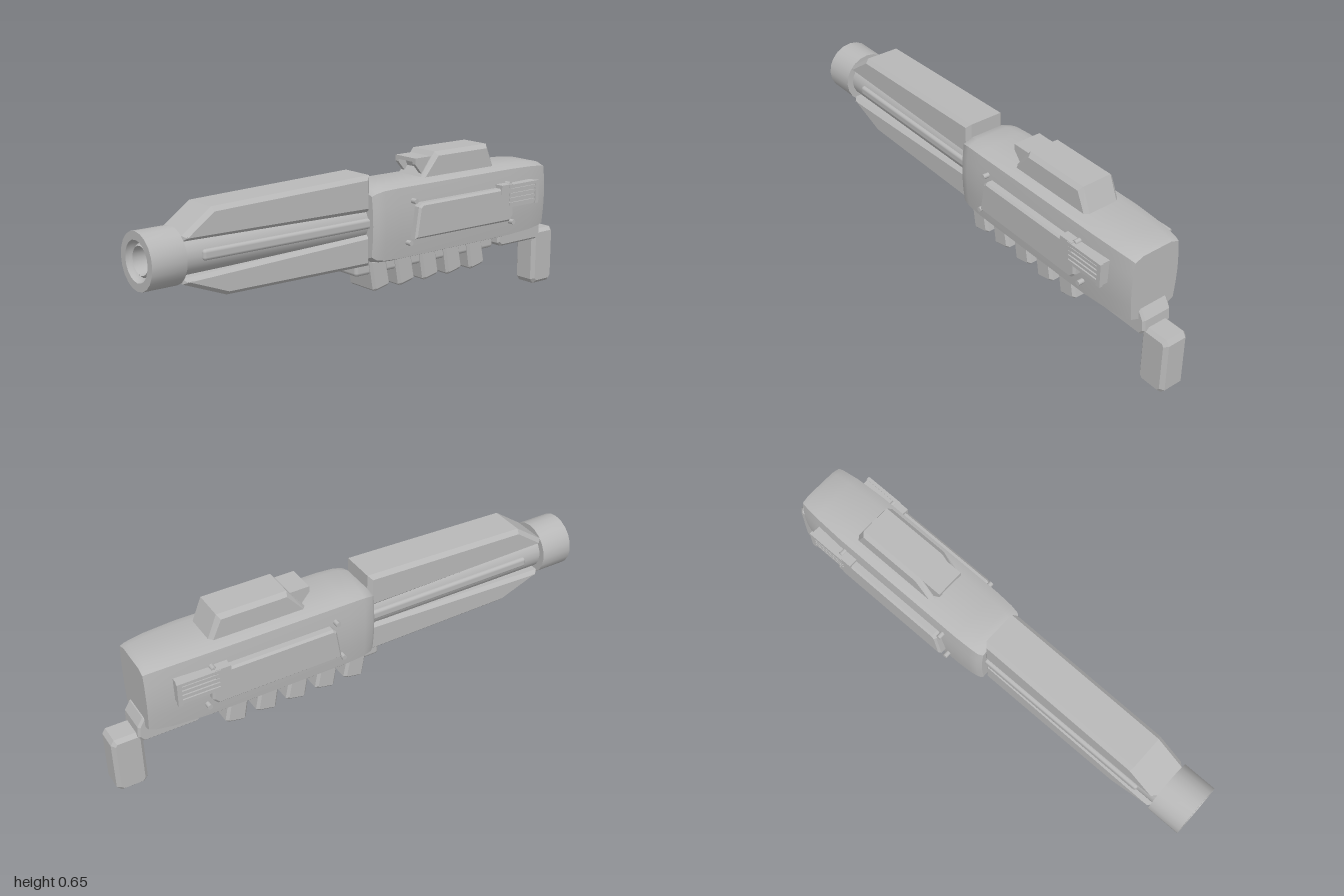
import * as THREE from 'three';
import { toCreasedNormals, mergeVertices } from 'three/addons/utils/BufferGeometryUtils.js';
import { RoundedBoxGeometry } from 'three/addons/geometries/RoundedBoxGeometry.js';

const metal = new THREE.MeshStandardMaterial({ color: 0xb8b8b8 });
metal.name = 'grey metal';

export function createModel() {
  const group = new THREE.Group();

  const add = (name, geometry, x = 0, y = 0, z = 0) => {
    const mesh = new THREE.Mesh(geometry, metal);
    mesh.name = name;
    mesh.position.set(x, y, z);
    group.add(mesh);
    return mesh;
  };

  // Side outline of [z, y] points, given a thickness from x0 to x1 with chamfered rims
  const sidePart = (name, points, x0, x1, bevel = 0.01) => {
    const shape = new THREE.Shape(points.map(([z, y]) => new THREE.Vector2(z, y)));
    const geometry = new THREE.ExtrudeGeometry(shape, {
      depth: x1 - x0 - 2 * bevel, bevelEnabled: bevel > 0, bevelSegments: 1,
      bevelSize: bevel, bevelThickness: bevel, bevelOffset: -bevel,
    });
    geometry.rotateY(-Math.PI / 2);
    geometry.translate(x1 - bevel, 0, 0);
    return add(name, geometry);
  };

  // Box given by its limits
  const box = (name, x0, x1, y0, y1, z0, z1, r = 0) => add(name,
    r ? new RoundedBoxGeometry(x1 - x0, y1 - y0, z1 - z0, 2, r)
      : new THREE.BoxGeometry(x1 - x0, y1 - y0, z1 - z0),
    (x0 + x1) / 2, (y0 + y1) / 2, (z0 + z1) / 2);

  // Main body: one rounded section, drawn in at both ends
  const half = [[0.068, 0.25], [0.117, 0.268], [0.125, 0.34], [0.128, 0.41],
    [0.125, 0.48], [0.118, 0.543], [0.076, 0.558]];
  const section = [...half, ...half.map(([x, y]) => [-x, y]).reverse()];
  const stations = [[-0.87, 0.84, 0.88], [-0.85, 0.88, 0.92], [-0.78, 0.95, 0.97], [-0.65, 1, 1],
    [-0.06, 1, 1], [0.01, 0.97, 0.98], [0.045, 0.93, 0.93], [0.06, 0.83, 0.85]];
  const n = section.length;
  const positions = [];
  const index = [];
  stations.forEach(([z, sx, sy], i) => {
    section.forEach(([x, y], j) => {
      positions.push(x * sx, 0.405 + (y - 0.405) * sy, z);
      if (i === stations.length - 1) return;
      const a = i * n + j, b = i * n + (j + 1) % n;
      index.push(a, b, a + n, b, b + n, a + n);
    });
  });
  const last = (stations.length - 1) * n;
  for (let j = 1; j < n - 1; j++) {
    index.push(0, j + 1, j, last, last + j, last + j + 1);
  }
  const body = new THREE.BufferGeometry();
  body.setAttribute('position', new THREE.Float32BufferAttribute(positions, 3));
  body.setIndex(index);
  add('body', toCreasedNormals(body, 0.6));

  // Barrel with a rail on each side
  const barrel = new THREE.CylinderGeometry(0.078, 0.078, 0.87, 20);
  add('barrel', barrel.rotateX(Math.PI / 2), 0, 0.415, 0.445);

  // Upper and lower barrel shrouds
  sidePart('upperShroud', [[0.05, 0.46], [0.865, 0.475], [0.865, 0.495], [0.745, 0.58], [0.05, 0.6]],
    -0.085, 0.085, 0.016);
  sidePart('lowerShroud', [[0.05, 0.25], [0.69, 0.257], [0.865, 0.325], [0.865, 0.345], [0.05, 0.372]],
    -0.08, 0.08, 0.014);

  // Muzzle ring with a rolled lip and a domed bore
  const muzzlePoints = [[0, 0.865], [0.105, 0.865], [0.105, 1], [0.075, 1], [0.07, 0.985],
    [0.06, 0.977], [0.052, 0.985], [0.05, 0.965], [0.05, 0.92], [0.044, 0.89], [0.025, 0.873], [0, 0.868]];
  const muzzle = new THREE.LatheGeometry(muzzlePoints.map(([r, z]) => new THREE.Vector2(r, z)), 20);
  muzzle.deleteAttribute('normal');
  muzzle.deleteAttribute('uv');
  add('muzzle', toCreasedNormals(mergeVertices(muzzle.rotateX(Math.PI / 2)), 0.7), 0, 0.415, 0);

  // Sight housing on top
  sidePart('sightHousing', [[-0.61, 0.54], [-0.2, 0.54], [-0.285, 0.65], [-0.565, 0.65]],
    -0.078, 0.078, 0.016);
  // Sight hood with a recessed window
  const hood = [[-0.3, 0.555], [-0.235, 0.555], [-0.19, 0.608], [-0.19, 0.632], [-0.3, 0.632]];
  for (const s of [-1, 1]) {
    sidePart('sightHoodCheek', hood, s < 0 ? -0.058 : 0.042, s < 0 ? -0.042 : 0.058, 0);
  }
  box('sightHoodTop', -0.042, 0.042, 0.617, 0.632, -0.3, -0.19);
  sidePart('sightWindow', [[-0.3, 0.555], [-0.25, 0.555], [-0.225, 0.617], [-0.3, 0.617]],
    -0.042, 0.042, 0);

  // Details mirrored on both sides
  for (const s of [-1, 1]) {
    const span = (a, b) => (s > 0 ? [a, b] : [-b, -a]);
    box('barrelRail', ...span(0.05, 0.088), 0.397, 0.437, 0.05, 0.79, 0.012);
    sidePart('sidePanel', [[-0.11, 0.342], [-0.62, 0.338], [-0.64, 0.36], [-0.64, 0.45],
      [-0.61, 0.478], [-0.145, 0.478], [-0.13, 0.465]], ...span(0.11, 0.157), 0.008);

    // Vent block with slats
    box('ventBlock', ...span(0.11, 0.156), 0.395, 0.488, -0.77, -0.61);
    box('ventTab', ...span(0.11, 0.161), 0.455, 0.492, -0.625, -0.565);
    box('ventFrameTop', ...span(0.15, 0.164), 0.478, 0.49, -0.775, -0.605);
    box('ventFrameBack', ...span(0.15, 0.164), 0.395, 0.478, -0.775, -0.757);
    for (let i = 0; i < 4; i++) {
      const y = 0.405 + i * 0.019;
      box('ventSlat', ...span(0.15, 0.162), y, y + 0.011, -0.757, -0.61);
    }

    // Bolts at the panel corners
    for (const [z, y] of [[-0.12, 0.488], [-0.095, 0.328], [-0.65, 0.328], [-0.625, 0.488]]) {
      const bolt = new THREE.CylinderGeometry(0.01, 0.01, 0.04, 10);
      add('bolt', bolt.rotateZ(Math.PI / 2), s * 0.128, y, z);
    }
  }

  // Underside rail and slanted foregrip ribs
  box('underRail', -0.064, 0.064, 0.21, 0.27, -0.62, 0.11, 0.015);
  for (let i = 0; i < 5; i++) {
    const z = 0.05 - i * 0.127;
    sidePart('gripRib', [[z, 0.27], [z - 0.082, 0.27], [z - 0.103, 0.165], [z - 0.092, 0.155],
      [z - 0.03, 0.142], [z - 0.02, 0.15]], -0.077, 0.077, 0.01);
  }

  // Rear bracket and hand grip
  sidePart('rearBracket', [[-0.65, 0.27], [-0.65, 0.222], [-0.67, 0.206], [-0.88, 0.206],
    [-0.9, 0.23], [-0.897, 0.275], [-0.875, 0.312], [-0.84, 0.312], [-0.82, 0.27]],
  -0.064, 0.064, 0.008);
  sidePart('handGrip', [[-0.892, 0], [-0.98, 0], [-0.998, 0.02], [-0.998, 0.22], [-0.985, 0.24],
    [-0.892, 0.24], [-0.876, 0.225], [-0.876, 0.02]], -0.053, 0.053, 0.014);

  return group;
}
